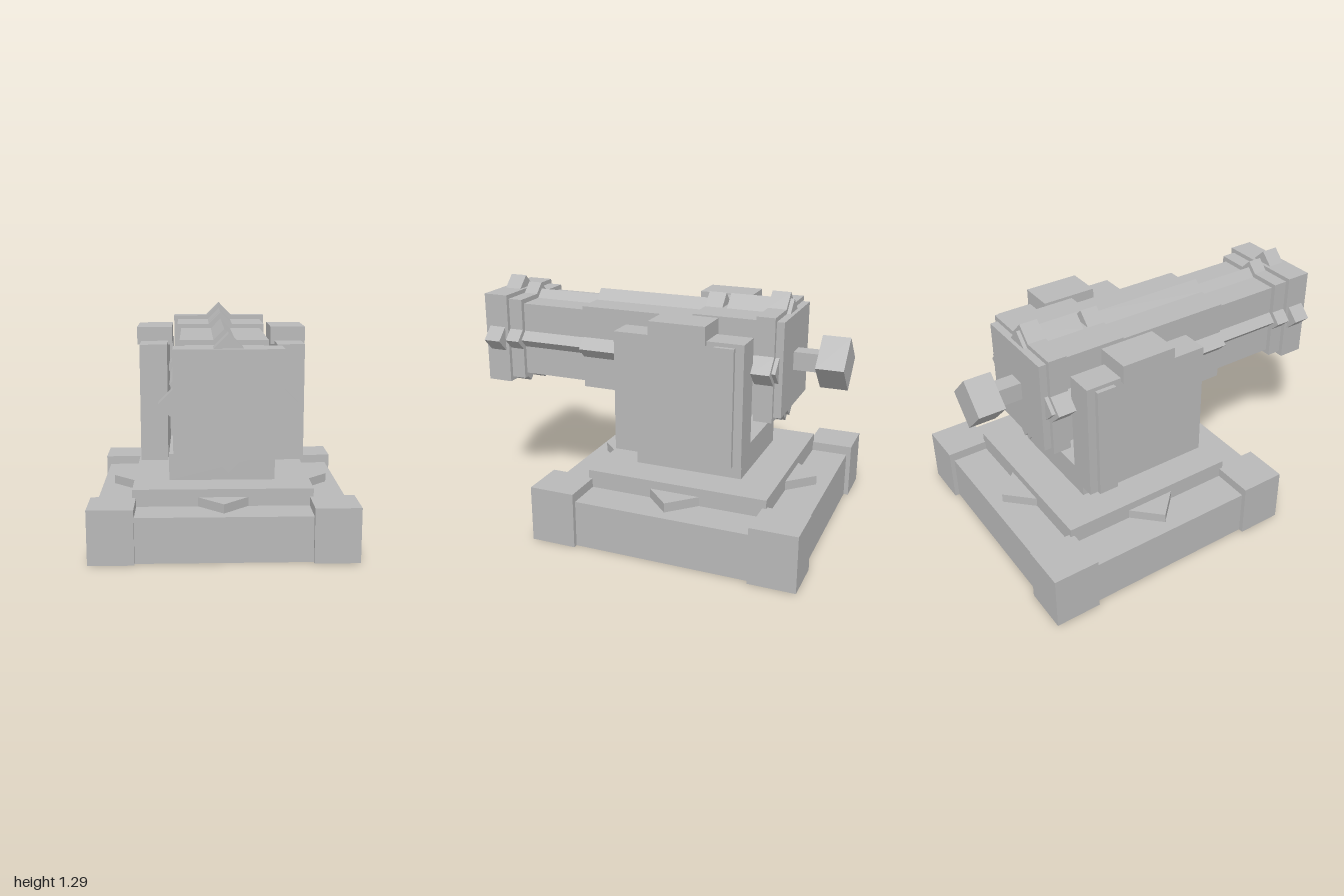
import * as THREE from 'three';

export function createModel() {
  const model = new THREE.Group();
  const stone = new THREE.MeshStandardMaterial({ color: 0xb8b8b8 });
  stone.name = 'plain grey';
  const AXIS = 0.94; // height of the barrel axis
  const MID = -0.24; // z of the base centre

  // box given by its limits on each axis
  function block(name, x0, x1, y0, y1, z0, z1, parent = model) {
    const mesh = new THREE.Mesh(new THREE.BoxGeometry(x1 - x0, y1 - y0, z1 - z0), stone);
    mesh.position.set((x0 + x1) / 2, (y0 + y1) / 2, (z0 + z1) / 2);
    mesh.name = name;
    parent.add(mesh);
    return mesh;
  }

  // square bar along z, turned on its edge; d is half its diagonal
  function edgeBar(name, x, y, d, z0, z1, parent = model) {
    const s = d * Math.SQRT2 / 2;
    const mesh = block(name, x - s, x + s, y - s, y + s, z0, z1, parent);
    mesh.rotation.z = Math.PI / 4;
    return mesh;
  }

  // four edge bars around the barrel, one on each face
  function ridges(name, half, d, z0, z1, parent) {
    for (const [dx, dy] of [[1, 0], [-1, 0], [0, 1], [0, -1]])
      edgeBar(name, dx * half, AXIS + dy * half, d, z0, z1, parent);
  }

  // square barrel section centred on the axis
  const section = (name, half, z0, z1, parent) =>
    block(name, -half, half, AXIS - half, AXIS + half, z0, z1, parent);

  // base slab, plinth and pedestal
  const base = new THREE.Group();
  base.name = 'base';
  model.add(base);
  block('baseSlab', -0.69, 0.69, 0, 0.25, MID - 0.69, MID + 0.69, base);
  block('plinth', -0.49, 0.49, 0.25, 0.345, MID - 0.49, MID + 0.49, base);
  block('pedestal', -0.295, 0.295, 0.345, 0.495, MID - 0.295, MID + 0.295, base);
  for (const sx of [-1, 1]) for (const sz of [-1, 1]) {
    const corner = block('cornerBlock', -0.1225, 0.1225, 0, 0.3, -0.1225, 0.1225, base);
    corner.position.set(sx * 0.5925, 0.15, MID + sz * 0.5925);
  }

  // pointed studs on the four sides of the plinth
  for (const [dx, dz] of [[1, 0], [-1, 0], [0, 1], [0, -1]]) {
    const stud = block('plinthStud', -0.096, 0.096, 0.25, 0.3, -0.096, 0.096, base);
    stud.position.set(dx * 0.49, 0.275, MID + dz * 0.49);
    stud.rotation.y = Math.PI / 4;
  }

  // upright supports on each side
  for (const s of [-1, 1]) {
    const support = new THREE.Group();
    support.name = s > 0 ? 'leftSupport' : 'rightSupport';
    model.add(support);
    const part = (name, a, b, ...rest) =>
      block(name, Math.min(s * a, s * b), Math.max(s * a, s * b), ...rest, support);
    part('supportWall', 0.297, 0.445, 0.475, 1.11, -0.58, 0.11);
    part('supportRib', 0.275, 0.468, 0.475, 1.09, -0.535, -0.43);
    part('supportCap', 0.275, 0.468, 1.09, 1.187, -0.388, -0.088);
  }

  // barrel from muzzle to breech
  const barrel = new THREE.Group();
  barrel.name = 'barrel';
  model.add(barrel);
  section('muzzle', 0.248, 0.86, 1.0, barrel);
  ridges('muzzleStud', 0.248, 0.067, 0.88, 0.975, barrel);
  section('muzzleCollar', 0.225, 0.78, 0.86, barrel);
  ridges('collarRidge', 0.225, 0.055, 0.78, 0.86, barrel);
  section('frontBarrel', 0.2, 0.4, 0.78, barrel);
  ridges('frontRidge', 0.2, 0.045, 0.4, 0.78, barrel);
  section('rearBarrel', 0.225, MID, 0.4, barrel);
  ridges('rearRidge', 0.225, 0.055, MID, 0.4, barrel);
  section('breech', 0.248, -0.72, MID, barrel);
  ridges('breechStud', 0.248, 0.067, -0.335, MID, barrel);
  ridges('breechRidge', 0.248, 0.067, -0.7, -0.36, barrel);
  section('breechRing', 0.272, -0.68, -0.582, barrel);
  ridges('ringStud', 0.272, 0.075, -0.68, -0.582, barrel);

  // knob on a neck behind the breech
  block('knobNeck', -0.048, 0.048, AXIS - 0.048, AXIS + 0.048, -0.86, -0.72, barrel);
  edgeBar('knob', 0, AXIS, 0.14, -1.0, -0.855, barrel);

  return model;
}
